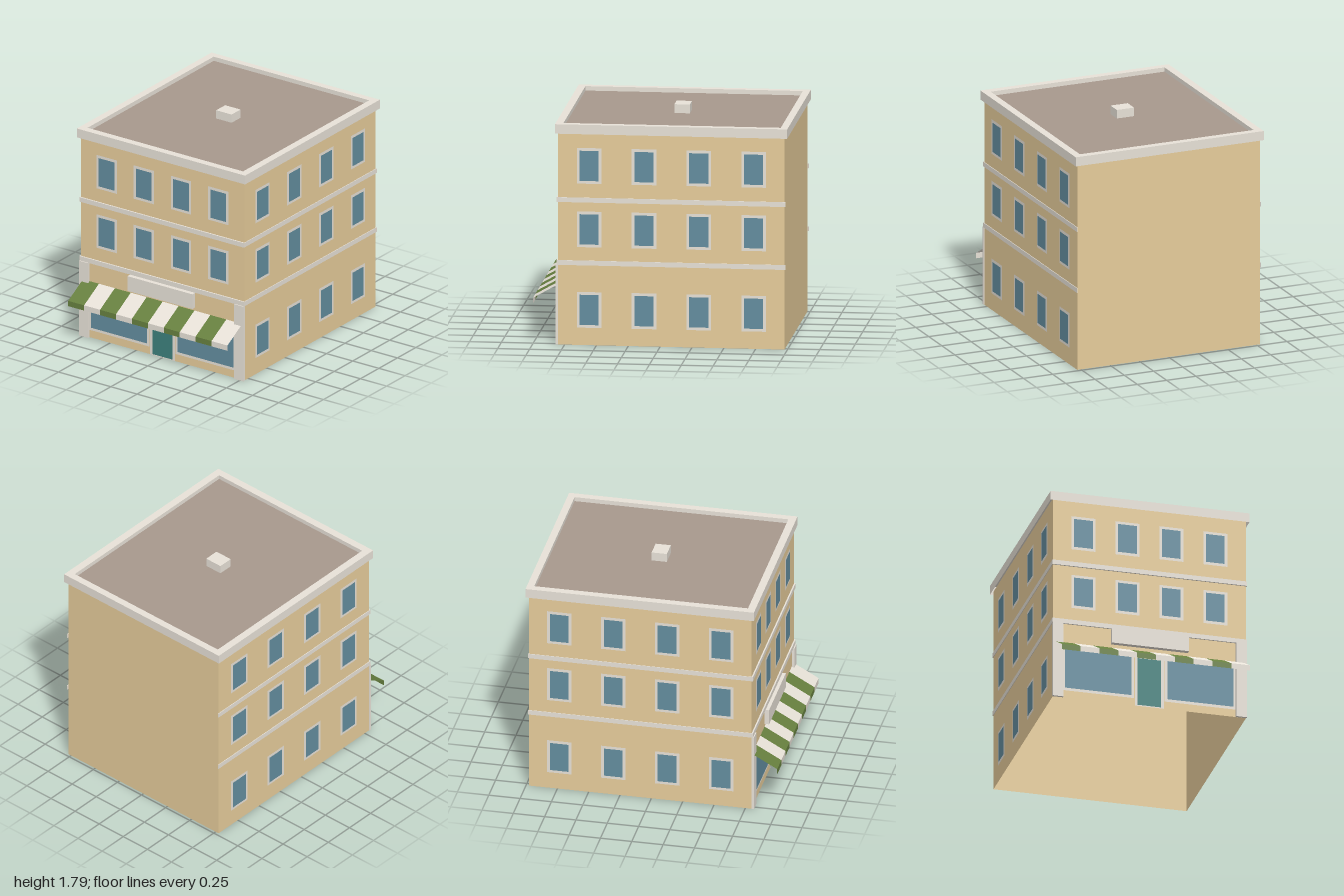
import * as THREE from 'three';

const mat = (name, color, side = THREE.FrontSide) => {
  const m = new THREE.MeshStandardMaterial({ color, side });
  m.name = name;
  return m;
};

export function createModel() {
  const wall = mat('wall', 0xe6cc9a, THREE.DoubleSide);
  const trim = mat('trim', 0xe7e1d7, THREE.DoubleSide);
  const green = mat('awningGreen', 0x67803f, THREE.DoubleSide);
  const roofMat = mat('roof', 0xa7988d);
  const glass = mat('glass', 0x638d9e);
  const doorMat = mat('door', 0x3d807c);

  const model = new THREE.Group();
  model.name = 'shopBuilding';

  const add = (name, geo, m, x, y, z, parent = model) => {
    const mesh = new THREE.Mesh(geo, m);
    mesh.position.set(x, y, z);
    mesh.name = name;
    parent.add(mesh);
    return mesh;
  };

  // Box given by its minimum and maximum corners; an open one has no top or bottom
  const box = (name, m, x0, x1, y0, y1, z0, z1, open = false) => {
    const geo = new THREE.BoxGeometry(x1 - x0, y1 - y0, z1 - z0);
    if (open) {
      const index = Array.from(geo.index.array);
      geo.setIndex([...index.slice(0, 12), ...index.slice(24)]);
      geo.clearGroups();
    }
    add(name, geo, m, (x0 + x1) / 2, (y0 + y1) / 2, (z0 + z1) / 2);
  };

  // Thin painted plate facing +z
  const plate = (name, m, w, h, x, y, z, parent) =>
    add(name, new THREE.PlaneGeometry(w, h), m, x, y, z, parent);

  // Open-bottomed shell of walls, sunken roof and vent
  box('walls', wall, -0.78, 0.78, 0, 1.7, -0.977, 0.8, true);
  box('roofDeck', roofMat, -0.742, 0.742, 1.705, 1.72, -0.943, 0.763);
  box('roofVent', trim, -0.074, 0.073, 1.72, 1.79, -0.151, -0.03);

  // Parapet: outer and inner faces with a flat coping ring
  box('parapetOuter', trim, -0.803, 0.803, 1.68, 1.755, -1.0, 0.823, true);
  box('parapetInner', trim, -0.742, 0.742, 1.71, 1.755, -0.943, 0.763, true);
  const rect = (S, x0, x1, y0, y1) => {
    const s = new S();
    s.moveTo(x0, y0).lineTo(x1, y0).lineTo(x1, y1).lineTo(x0, y1).closePath();
    return s;
  };
  const ring = rect(THREE.Shape, -0.803, 0.803, -0.823, 1.0);
  ring.holes.push(rect(THREE.Path, -0.742, 0.742, -0.763, 0.943));
  add('parapetCoping', new THREE.ShapeGeometry(ring), trim, 0, 1.755, 0).rotation.x = -Math.PI / 2;

  // Floor bands on the front and both sides
  for (const y of [0.634, 1.134]) {
    box('frontBand', trim, -0.785, 0.785, y, y + 0.038, 0.8005, 0.812);
    for (const s of [-1, 1]) {
      const x = s * 0.783;
      box('sideBand', trim, x - 0.0025, x + 0.0025, y, y + 0.038, -0.985, 0.811);
    }
  }

  // Window: flat surround with the pane just in front
  const addWindow = (w, h, x, y, z, turn) => {
    const g = new THREE.Group();
    g.name = 'window';
    plate('windowFrame', trim, w + 0.044, h + 0.044, 0, 0, 0.002, g);
    plate('windowGlass', glass, w, h, 0, 0, 0.004, g);
    g.position.set(x, y, z);
    g.rotation.y = turn;
    model.add(g);
  };
  for (let i = 0; i < 4; i++) {
    for (const y of [0.92, 1.425]) addWindow(0.15, 0.24, -0.533 + i * 0.3553, y, 0.8, 0);
    for (const y of [0.28, 0.92, 1.425]) {
      for (const s of [-1, 1]) addWindow(0.15, 0.24, s * 0.78, y, 0.557 - i * 0.4305, s * Math.PI / 2);
    }
  }

  // Shopfront: display windows, corner pilasters, door and sign board
  for (const s of [-1, 1]) {
    addWindow(0.535, 0.335, s * 0.413, 0.2525, 0.8, 0);
    const x = s * 0.741;
    box('pilaster', trim, x - 0.044, x + 0.044, 0, 0.635, 0.8005, 0.82);
  }
  plate('doorFrame', trim, 0.236, 0.43, 0, 0.215, 0.802);
  plate('door', doorMat, 0.19, 0.402, 0, 0.209, 0.804);
  box('signBoard', trim, -0.31, 0.31, 0.503, 0.628, 0.8005, 0.837);

  // Striped awning: sloping strips, each with a short hanging valance
  const awning = new THREE.Group();
  awning.name = 'awning';
  const profile = [[0.476, 0.8], [0.363, 1.0], [0.318, 1.0]];
  const stripe = 0.152;
  for (let i = 0; i < 10; i++) {
    const x0 = -0.76 + i * stripe, x1 = x0 + stripe;
    const pos = [];
    for (let k = 0; k < 2; k++) {
      const [ya, za] = profile[k], [yb, zb] = profile[k + 1];
      pos.push(x0, ya, za, x0, yb, zb, x1, yb, zb, x0, ya, za, x1, yb, zb, x1, ya, za);
    }
    const geo = new THREE.BufferGeometry();
    geo.setAttribute('position', new THREE.Float32BufferAttribute(pos, 3));
    geo.computeVertexNormals();
    add('awningStripe', geo, i % 2 ? trim : green, 0, 0, 0, awning);
  }
  model.add(awning);

  return model;
}
